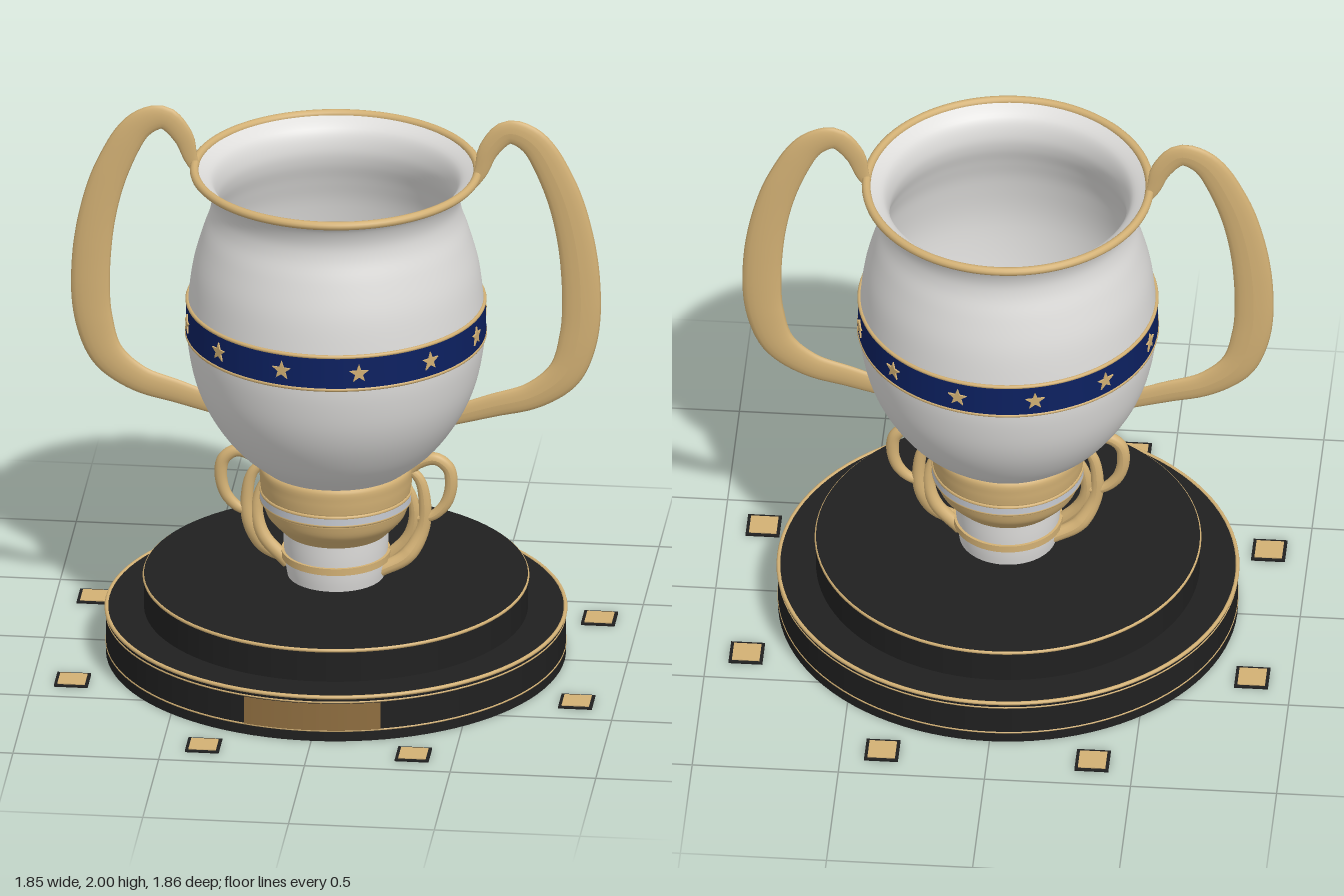
import * as THREE from 'three';

const mat = (name, color, side = THREE.FrontSide) => {
  const m = new THREE.MeshStandardMaterial({ color, side });
  m.name = name;
  return m;
};

export function createModel() {
  const gold = mat('gold', 0xd2b074, THREE.DoubleSide);
  const bronze = mat('bronze', 0x8f6e40);
  const black = mat('black', 0x202020);
  const white = mat('white', 0xdedddb, THREE.DoubleSide);
  const silver = mat('silver', 0xc6cad2);
  const navy = mat('navy', 0x0c2060);

  const trophy = new THREE.Group();
  trophy.name = 'trophy';
  const add = (name, geo, material, x = 0, y = 0, z = 0, parent = trophy) => {
    const m = new THREE.Mesh(geo, material);
    m.name = name;
    m.position.set(x, y, z);
    parent.add(m);
    return m;
  };
  const v2 = (p) => new THREE.Vector2(p[0], p[1]);
  const smooth = (pts, n) => new THREE.SplineCurve(pts.map(v2)).getPoints(n);
  const lathe = (name, pts, material) => add(name, new THREE.LatheGeometry(pts, 96), material);
  const disc = (name, r, y0, y1, material) =>
    add(name, new THREE.CylinderGeometry(r, r, y1 - y0, 96), material, 0, (y0 + y1) / 2);
  const ring = (name, r, tube, y, material) =>
    add(name, new THREE.TorusGeometry(r, tube, 10, 96).rotateX(Math.PI / 2), material, 0, y);

  // Tube whose radius follows a list along its length, flattened in z
  const taperedTube = (pts, radii, flat) => {
    const steps = 80, sides = 16;
    const curve = new THREE.CatmullRomCurve3(pts.map((p) => new THREE.Vector3(p[0], p[1], p[2] || 0)));
    const geo = new THREE.TubeGeometry(curve, steps, 1, sides, false);
    const pos = geo.attributes.position;
    for (let i = 0; i <= steps; i++) {
      const c = curve.getPointAt(i / steps);
      const f = (i / steps) * (radii.length - 1);
      const k = Math.min(Math.floor(f), radii.length - 2);
      const r = THREE.MathUtils.lerp(radii[k], radii[k + 1], f - k);
      for (let j = 0; j <= sides; j++) {
        const n = i * (sides + 1) + j;
        pos.setXYZ(n, c.x + (pos.getX(n) - c.x) * r, c.y + (pos.getY(n) - c.y) * r,
          c.z + (pos.getZ(n) - c.z) * r * flat);
      }
    }
    geo.computeVertexNormals();
    return geo;
  };

  // Stepped plinth with gold trims and a curved plaque
  disc('lowerPlinth', 0.785, 0, 0.165, black);
  disc('upperPlinth', 0.655, 0.165, 0.287, black);
  ring('lowerPlinthTopTrim', 0.783, 0.007, 0.162, gold);
  ring('lowerPlinthSecondTrim', 0.783, 0.004, 0.144, gold);
  ring('lowerPlinthFootTrim', 0.783, 0.004, 0.038, gold);
  ring('upperPlinthTrim', 0.653, 0.007, 0.28, gold);
  add('plaque', new THREE.CylinderGeometry(0.789, 0.789, 0.1, 32, 1, true, -0.302, 0.604), bronze, 0, 0.091);

  // Square floor markers around the plinth
  for (const sx of [-1, 1]) for (const sz of [-1, 1]) for (const [x, z] of [[0.36, 0.87], [0.865, 0.36]]) {
    add('markerBase', new THREE.BoxGeometry(0.116, 0.006, 0.116), black, sx * x, 0.003, sz * z);
    add('markerTop', new THREE.BoxGeometry(0.094, 0.003, 0.094), gold, sx * x, 0.0075, sz * z);
  }

  // Stem
  lathe('stemFoot', smooth([[0.165, 0.285], [0.172, 0.33], [0.178, 0.4], [0.18, 0.455]], 16), white);
  disc('stemRing', 0.186, 0.355, 0.38, gold);
  lathe('stemBowl', [
    ...smooth([[0.17, 0.445], [0.2, 0.475], [0.235, 0.515], [0.25, 0.56]], 16), v2([0.25, 0.6]),
    ...smooth([[0.256, 0.605], [0.26, 0.65], [0.256, 0.7], [0.2, 0.715]], 16)], gold);
  disc('stemSilverBand', 0.26, 0.572, 0.6, silver);
  ring('stemBandTrimLow', 0.254, 0.007, 0.57, gold);
  ring('stemBandTrimHigh', 0.254, 0.007, 0.6, gold);

  // Open cup: outer wall up, over the lip, inner wall down
  const outer = smooth([[0.24, 0.69], [0.345, 0.78], [0.425, 0.89], [0.475, 1.0], [0.502, 1.12], [0.509, 1.22],
    [0.502, 1.33], [0.487, 1.44], [0.457, 1.55], [0.43, 1.63], [0.426, 1.69], [0.448, 1.75], [0.488, 1.785]], 60);
  const inner = smooth([[0.475, 1.788], [0.425, 1.75], [0.405, 1.69], [0.41, 1.63], [0.437, 1.55], [0.467, 1.44],
    [0.487, 1.25], [0.455, 1.0], [0.4, 0.88], [0.32, 0.79], [0.2, 0.735], [0, 0.725]], 60);
  lathe('cup', [...outer, ...inner], white);
  add('rim', new THREE.TorusGeometry(0.484, 0.015, 12, 96).rotateX(Math.PI / 2), gold, 0, 1.785);

  // Navy belt with gold edges and twelve stars
  add('belt', new THREE.CylinderGeometry(0.511, 0.513, 0.12, 96, 1, true), navy, 0, 1.247);
  ring('beltLowerTrim', 0.509, 0.007, 1.187, gold);
  ring('beltUpperTrim', 0.507, 0.007, 1.307, gold);
  const star = new THREE.Shape(Array.from({ length: 10 }, (_, i) => {
    const r = i % 2 ? 0.014 : 0.035, a = Math.PI / 2 + (i * Math.PI) / 5;
    return new THREE.Vector2(r * Math.cos(a), r * Math.sin(a));
  }));
  const starGeo = new THREE.ExtrudeGeometry(star, { depth: 0.006, bevelEnabled: false });
  for (let i = 0; i < 12; i++) {
    const a = ((15 + 30 * i) * Math.PI) / 180;
    add('star', starGeo, gold, 0.511 * Math.sin(a), 1.247, 0.511 * Math.cos(a)).rotation.y = a;
  }

  // Handles and stem scrolls, repeated by a half turn
  const bigHandle = taperedTube([[0.47, 1.75], [0.497, 1.8], [0.525, 1.885], [0.592, 1.952], [0.675, 1.92],
    [0.765, 1.765], [0.82, 1.575], [0.842, 1.365], [0.832, 1.2], [0.785, 1.065], [0.68, 0.98], [0.54, 0.935],
    [0.4, 0.89]],
  [0.015, 0.035, 0.046, 0.055, 0.06, 0.063, 0.066, 0.067, 0.065, 0.058, 0.048, 0.042, 0.035], 0.33);
  const smallHandle = taperedTube([[0.24, 0.67], [0.285, 0.71], [0.34, 0.727], [0.385, 0.695], [0.395, 0.63],
    [0.375, 0.56], [0.33, 0.515], [0.28, 0.505]], [0.02, 0.022, 0.022, 0.02, 0.016], 0.9);
  const outerScroll = taperedTube([[0.23, 0.7], [0.285, 0.65], [0.305, 0.56], [0.295, 0.46], [0.245, 0.37, 0.02],
    [0.155, 0.32, 0.035]], [0.015, 0.02, 0.024, 0.028, 0.024], 0.9);
  const innerScroll = taperedTube([[0.23, 0.65], [0.262, 0.58], [0.27, 0.5, -0.005], [0.245, 0.42, -0.015],
    [0.16, 0.33, -0.025]], [0.012, 0.02, 0.024, 0.024], 0.9);
  for (const turn of [0, Math.PI]) {
    const side = new THREE.Group();
    side.name = turn ? 'rightHandles' : 'leftHandles';
    side.rotation.y = turn;
    add('bigHandle', bigHandle, gold, 0, 0, 0, side);
    add('smallHandle', smallHandle, gold, 0, 0, 0, side);
    add('outerScroll', outerScroll, gold, 0, 0, 0, side);
    add('innerScroll', innerScroll, gold, 0, 0, 0, side);
    trophy.add(side);
  }

  // Small gold fittings on the inner floor
  for (let i = 0; i < 4; i++) {
    const a = 0.27 + (i * Math.PI) / 2;
    add('innerFitting', new THREE.BoxGeometry(0.08, 0.03, 0.055), gold,
      0.177 * Math.sin(a), 0.735, 0.177 * Math.cos(a)).rotation.set(0, a - 0.6, 0.2);
  }
  add('innerStud', new THREE.SphereGeometry(0.015, 12, 8), gold, 0, 0.728, 0);

  return trophy;
}
